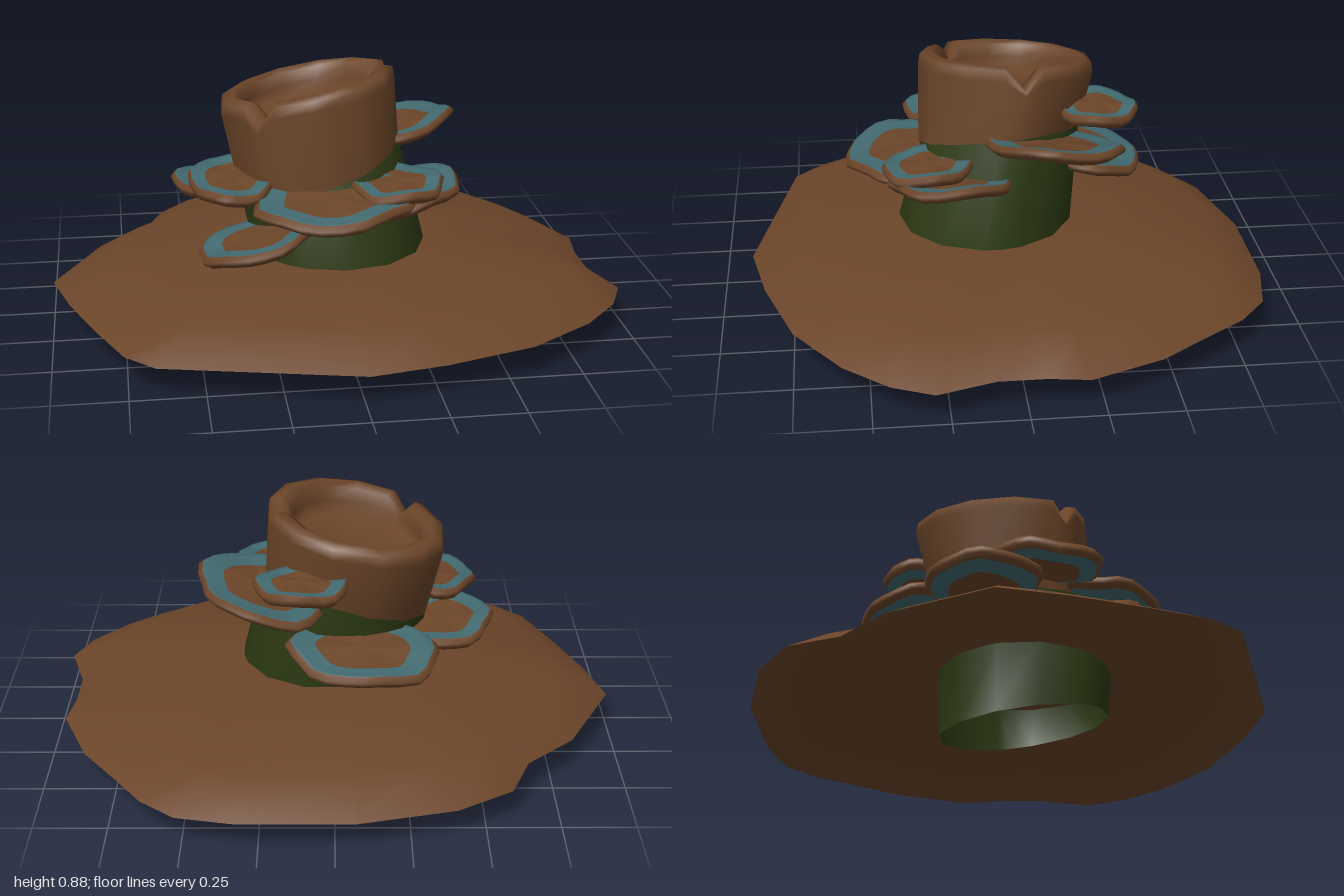
import * as THREE from 'three';

const mat = (name, color, side = THREE.FrontSide) => {
  const m = new THREE.MeshStandardMaterial({ color, side });
  m.name = name;
  return m;
};

// Skin a stack of closed rings; bands[i] is the material index between ring i and i + 1
function loft(rings, bands) {
  const n = rings[0].length, index = [];
  const geo = new THREE.BufferGeometry().setFromPoints(rings.flat());
  for (let r = 0; r < rings.length - 1; r++) {
    geo.addGroup(index.length, n * 6, bands ? bands[r] : 0);
    for (let i = 0; i < n; i++) {
      const a = r * n + i, b = r * n + (i + 1) % n;
      index.push(a, a + n, b, b, a + n, b + n);
    }
  }
  geo.setIndex(index);
  geo.computeVertexNormals();
  return geo;
}

// Outline of the earth, clockwise seen from above
const OUTLINE = [
  [-1, -.02], [-.83, -.36], [-.66, -.52], [-.59, -.7], [-.4, -.82], [-.07, -.9], [.32, -.9], [.52, -.86],
  [.64, -.76], [.73, -.63], [.86, -.45], [.96, -.2], [.94, -.06], [.94, .1], [1, .3], [.94, .44],
  [.81, .59], [.58, .75], [.27, .85], [.01, .9], [-.66, .75], [-.76, .65], [-.85, .44], [-.94, .2],
];

// Angles round the stump, with tight triples at the two notches
const ANGLES = [-.33, -.13, .1, .6, 1.1, 1.6, 2.06, 2.26, 2.46, 2.95, 3.45, 3.95, 4.45, 5, 5.5];
const NOTCHES = [1, 7];

// Ring round (cx, cz) whose height is a rule of x and z
const trunkRing = (cx, cz, r, height, notch = 0) => ANGLES.map((a, i) => {
  const x = cx + r * Math.cos(a), z = cz + r * Math.sin(a);
  return new THREE.Vector3(x, height(x, z) - (NOTCHES.includes(i) ? notch : 0), z);
});

// Shelves: x, y, z, radius x, radius z, slope along x, slope along z
const SHELVES = [
  [.24, .6, -.17, .23, .24, .25, .08],
  [.11, .685, -.33, .16, .14, .02, .02],
  [.2, .525, .27, .16, .16, .05, -.05],
  [.23, .475, .19, .2, .22, .2, 0],
  [-.03, .495, .33, .28, .22, .04, -.12],
  [-.28, .35, .27, .21, .21, .28, .05],
  [-.36, .52, .13, .15, .2, 0, -.08],
  [-.38, .44, -.08, .18, .2, -.12, .05],
  [-.1, .44, -.33, .26, .19, .05, .2],
];

function shelfGeometry([, , , rx, rz, sx, sz], k) {
  // radius factor, height: underside, lip, upper side
  const profile = [[0, -.025], [.6, -.035], [.9, -.022], [.98, -.008], [1, .006], [.93, .022], [.86, .018], [.62, .015], [0, .02]];
  const rings = profile.map(([s, h]) => Array.from({ length: 24 }, (_, i) => {
    const a = i / 24 * Math.PI * 2;
    const w = s * (1 + .025 * Math.sin(5 * a + k * 1.7) + .02 * Math.sin(8 * a + k));
    const x = rx * w * Math.cos(a), z = rz * w * Math.sin(a);
    return new THREE.Vector3(x, h + sx * x + sz * z + .008 * s * Math.sin(4 * a + k), z);
  }));
  return loft(rings, [0, 1, 0, 0, 0, 1, 1, 0]);
}

export function createModel() {
  const bark = mat('brown', 0x6b4529);
  const earth = mat('brown earth', 0x6b4529, THREE.DoubleSide);
  const moss = mat('moss green', 0x2c3a14, THREE.DoubleSide);
  const teal = mat('teal', 0x426a70);
  const model = new THREE.Group();
  const add = (name, geo, material) => {
    const mesh = new THREE.Mesh(geo, material);
    mesh.name = name;
    model.add(mesh);
    return mesh;
  };

  // Low mound of earth, open below
  const mound = [[1, .11], [.83, .2], [.42, .255], [0, .265]].map(([s, y]) =>
    OUTLINE.map(([x, z]) => new THREE.Vector3(x * s, y, z * s)));
  add('mound', loft(mound), [earth]);

  // Mossy lower trunk, cut on a slant at the foot
  const foot = (x, z) => .06 + .14 * (x - .01) + .14 * (z - .05);
  const seam = (x, z) => .54 + .3 * (x + .05) - .08 * z;
  const seamRing = trunkRing(-.045, 0, .288, seam);
  add('mossyTrunk', loft([
    trunkRing(.01, .05, .3, foot),
    trunkRing(.02, .055, .31, () => .26),
    seamRing,
  ]), [moss]);

  // Bark upper trunk with a rounded, notched rim and a hollow top
  const rim = d => (x, z) => .83 + .18 * (x + .09) + .06 * (z + .03) - d;
  const top = (r, d, notch) => trunkRing(-.08, -.03, r, rim(d), notch);
  add('barkTrunk', loft([
    seamRing,
    top(.312, .05, .05), top(.305, .012, .08), top(.27, 0, .08), top(.24, .015, .06),
    top(.225, .06, .02), top(.22, .11, 0), top(0, .11, 0),
  ]), [bark]);

  // Shelf fungi stepped round the trunk
  SHELVES.forEach((s, k) =>
    add('shelfFungus' + (k + 1), shelfGeometry(s, k), [bark, teal]).position.set(s[0], s[1], s[2]));

  return model;
}
